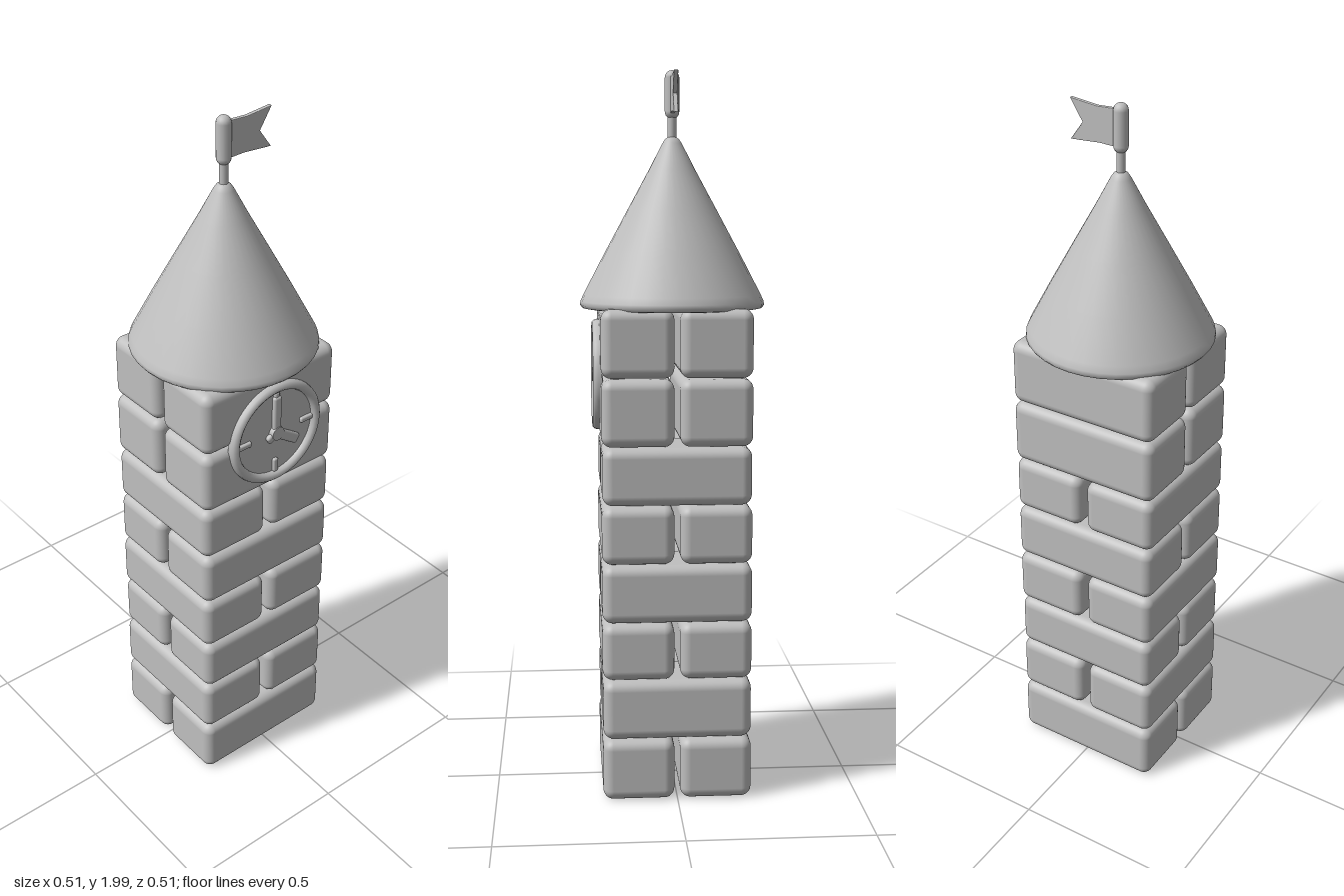
import * as THREE from 'three';
import { RoundedBoxGeometry } from 'three/addons/geometries/RoundedBoxGeometry.js';

export function createModel() {
  const tower = new THREE.Group();
  tower.name = 'clockTower';
  const stone = new THREE.MeshStandardMaterial({ color: 0xbfbfbf });
  stone.name = 'grey stone';

  const add = (parent, name, geometry, x = 0, y = 0, z = 0) => {
    const mesh = new THREE.Mesh(geometry, stone);
    mesh.name = name;
    mesh.position.set(x, y, z);
    parent.add(mesh);
    return mesh;
  };

  // Brick courses: two bricks each, with the joint direction alternating
  const levels = [0.005, 0.178, 0.345, 0.505, 0.668, 0.83, 0.99, 1.175, 1.362];
  const splitAlongX = [true, false, true, false, true, false, true, true];
  const bricks = new THREE.Group();
  bricks.name = 'bricks';
  tower.add(bricks);
  splitAlongX.forEach((alongX, i) => {
    const height = levels[i + 1] - levels[i] - 0.002;
    const y = (levels[i] + levels[i + 1]) / 2;
    const inset = (i % 3) * 0.002;
    for (const side of [-1, 1]) {
      const w = alongX ? 0.197 : 0.41 - inset;
      const d = alongX ? 0.448 - inset : 0.215;
      const x = alongX ? side * 0.1065 : 0;
      const z = alongX ? 0 : side * 0.1165;
      add(bricks, 'brick', new RoundedBoxGeometry(w, height, d, 5, 0.028), x, y, z);
    }
  });

  // Conical roof with a rounded lip and a slightly hollow underside
  const roofProfile = [
    [0, 1.385], [0.16, 1.372], [0.225, 1.357], [0.24, 1.353], [0.25, 1.355], [0.256, 1.363],
    [0.255, 1.373], [0.247, 1.391], [0.19, 1.5], [0.125, 1.62], [0.065, 1.73],
    [0.027, 1.803], [0.019, 1.815], [0.01, 1.821], [0, 1.823],
  ].map(([r, y]) => new THREE.Vector2(r, y));
  add(tower, 'roof', new THREE.LatheGeometry(roofProfile, 36));

  // Flag pole with a thicker sleeve holding the pennant
  add(tower, 'pole', new THREE.CylinderGeometry(0.012, 0.012, 0.1, 16), 0, 1.85, 0);
  add(tower, 'flagSleeve', new THREE.CapsuleGeometry(0.02, 0.091, 6, 16), 0, 1.9345, 0);

  // Swallow-tailed flag streaming towards the back
  const flagShape = new THREE.Shape();
  [[0, 1.885], [0.06, 1.887], [0.147, 1.88], [0.11, 1.93], [0.147, 1.986], [0.07, 1.978], [0, 1.982]]
    .forEach(([u, v], i) => (i ? flagShape.lineTo(u, v) : flagShape.moveTo(u, v)));
  const flagGeometry = new THREE.ExtrudeGeometry(flagShape, {
    depth: 0.008, bevelEnabled: true, bevelThickness: 0.002, bevelSize: 0.002, bevelSegments: 2,
  });
  flagGeometry.translate(0, 0, -0.004).rotateY(Math.PI / 2);
  add(tower, 'flag', flagGeometry);

  // Clock on the left wall; built facing +z, then turned to face +x
  const clock = new THREE.Group();
  clock.name = 'clock';
  clock.position.set(0.2, 1.17, -0.008);
  clock.rotation.y = Math.PI / 2;
  tower.add(clock);

  const dial = add(clock, 'clockDial', new THREE.CylinderGeometry(0.14, 0.14, 0.012, 48), 0, 0, 0.003);
  dial.rotation.x = Math.PI / 2;
  const rimProfile = [
    [0.126, 0], [0.127, 0.012], [0.131, 0.02], [0.138, 0.025], [0.146, 0.024],
    [0.152, 0.018], [0.154, 0.01], [0.154, 0],
  ].map(([r, y]) => new THREE.Vector2(r, y)).reverse();
  const rim = add(clock, 'clockRim', new THREE.LatheGeometry(rimProfile.reverse(), 48));
  rim.rotation.x = Math.PI / 2;
  rim.material = stone;
  stone.side = THREE.DoubleSide;

  // Hour marks at the four quarters
  for (let i = 0; i < 4; i++) {
    const a = (i * Math.PI) / 2;
    const mark = add(clock, 'hourMark', new RoundedBoxGeometry(0.042, 0.016, 0.014, 3, 0.005),
      Math.cos(a) * 0.107, Math.sin(a) * 0.107, 0.011);
    mark.rotation.z = a;
  }

  // Hands and hub
  const addHand = (name, angle, length, width) => {
    const pivot = new THREE.Group();
    pivot.name = name;
    pivot.rotation.z = angle;
    clock.add(pivot);
    add(pivot, name + 'Bar', new RoundedBoxGeometry(length, width, 0.016, 3, 0.007), length / 2, 0, 0.014);
  };
  addHand('minuteHand', Math.PI / 2, 0.115, 0.026);
  addHand('hourHand', -0.6, 0.09, 0.03);
  addHand('handTail', Math.PI * 1.17, 0.035, 0.024);
  const hub = add(clock, 'handHub', new THREE.CylinderGeometry(0.02, 0.022, 0.02, 20), 0, 0, 0.014);
  hub.rotation.x = Math.PI / 2;

  return tower;
}
